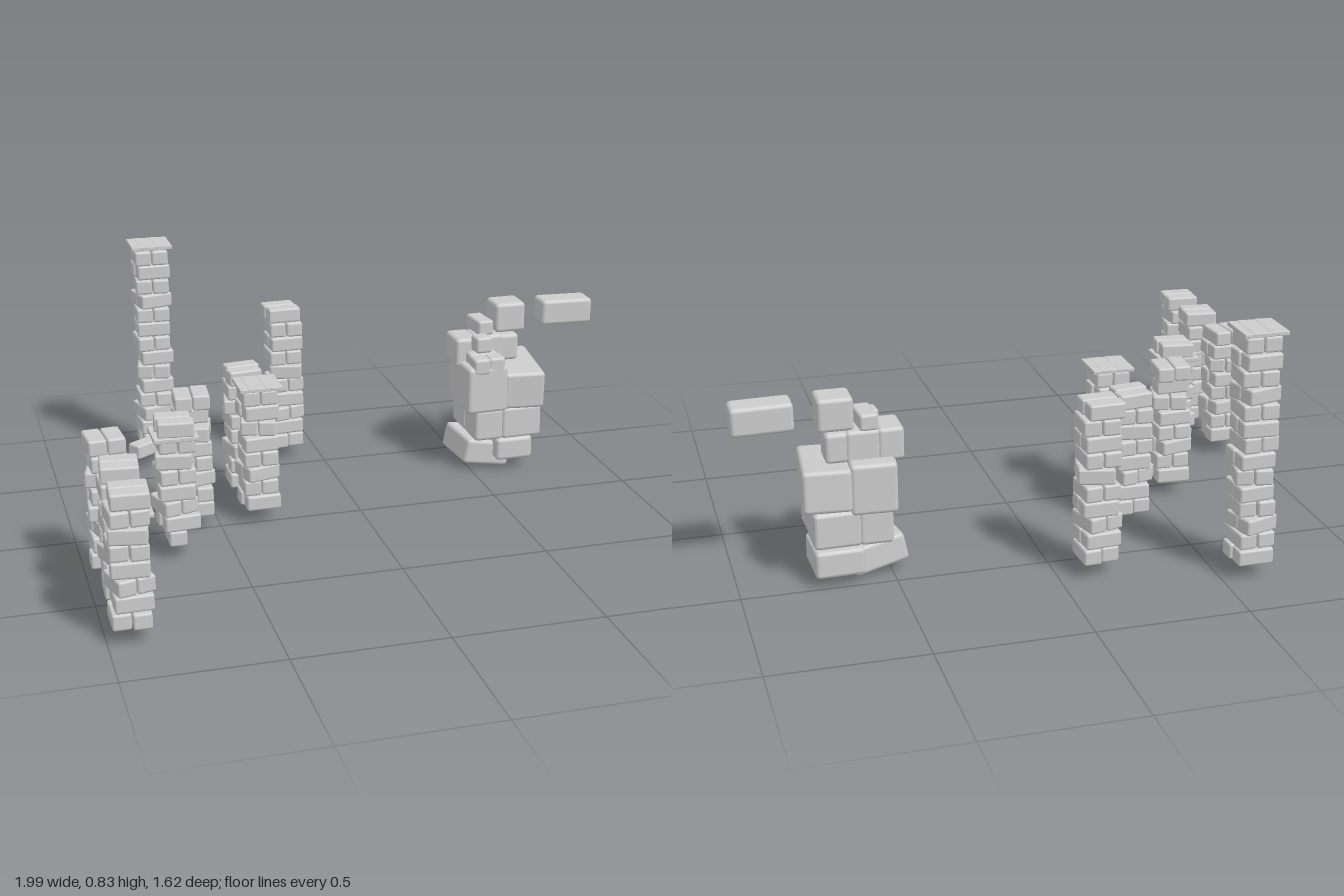
import * as THREE from 'three';
import { RoundedBoxGeometry } from 'three/addons/geometries/RoundedBoxGeometry.js';

const BASE = 0.053, LAYER = 0.0545;
const material = new THREE.MeshStandardMaterial({ color: 0xcccccc });
const brickGeometry = new RoundedBoxGeometry(0.119, 0.053, 0.059, 2, 0.008);

// Small seeded generator, returns -1..1
function seeded(seed) {
  let s = seed * 7919 + 17;
  return () => {
    s = (s * 16807) % 2147483647;
    return (s / 2147483647) * 2 - 1;
  };
}

function stone(name, w, h, d, x, y, z, rx = 0, ry = 0, rz = 0) {
  const radius = Math.min(0.014, Math.min(w, h, d) * 0.18);
  const mesh = new THREE.Mesh(new RoundedBoxGeometry(w, h, d, 2, radius), material);
  mesh.name = name;
  mesh.position.set(x, y, z);
  mesh.rotation.set(rx, ry, rz);
  return mesh;
}

// Thin square plate made of parallel planks
function slab(y, x = 0, z = 0) {
  const group = new THREE.Group();
  group.name = 'slab';
  for (let i = 0; i < 5; i++) {
    group.add(stone('plank', 0.031, 0.014, 0.142, x + (i - 2) * 0.029, y + (i % 2) * 0.001, z));
  }
  return group;
}

// Stack of brick pairs, each layer turned a quarter against the next
function pillar({ x, z, layers, topAlongX, yaw = 0, single = [], seed }) {
  const group = new THREE.Group();
  group.name = 'pillar';
  group.position.set(x, 0, z);
  const rnd = seeded(seed);
  const twist = [0, 0.03, 0.27, -0.03, 0.05, -0.2, 0.03, 0];
  for (let i = 0; i < layers; i++) {
    const layer = new THREE.Group();
    layer.name = 'brickLayer';
    layer.position.set(rnd() * 0.005, BASE + (i + 0.5) * LAYER, rnd() * 0.005);
    const alongX = ((layers - 1 - i) % 2 === 0) === topAlongX;
    const turn = i === layers - 1 ? yaw : twist[i % 8] + rnd() * 0.05;
    layer.rotation.y = turn + (alongX ? 0 : Math.PI / 2);
    const sides = single.includes(i) ? [0] : [-1, 1];
    for (const side of sides) {
      const brick = new THREE.Mesh(brickGeometry, material);
      brick.name = 'brick';
      brick.position.set(rnd() * 0.006, 0, side * 0.0305);
      layer.add(brick);
    }
    group.add(layer);
  }
  return group;
}

function stoneFigure() {
  const group = new THREE.Group();
  group.name = 'stoneFigure';
  group.add(
    // Feet
    stone('tiltedFoot', 0.185, 0.095, 0.2, 0.555, 0.069, -0.35, 0.05, 0.12, -0.2),
    stone('frontFoot', 0.14, 0.085, 0.085, 0.655, 0.088, -0.252),
    stone('sideFoot', 0.16, 0.092, 0.18, 0.682, 0.082, -0.41, 0, 0.03, 0),
    // Torso
    stone('sideTorso', 0.155, 0.14, 0.29, 0.7, 0.32, -0.352, 0.06, -0.09, 0),
    stone('frontTorso', 0.155, 0.175, 0.15, 0.542, 0.328, -0.28, 0, 0.04, 0),
    stone('backTorso', 0.15, 0.17, 0.14, 0.56, 0.32, -0.42, 0, -0.04, 0),
    // Shoulder rubble
    stone('shoulderStone', 0.085, 0.11, 0.13, 0.495, 0.445, -0.37),
    stone('shoulderStone', 0.11, 0.11, 0.11, 0.585, 0.445, -0.38),
    stone('chestStone', 0.062, 0.06, 0.066, 0.52, 0.42, -0.234),
    stone('chestStone', 0.062, 0.06, 0.066, 0.578, 0.42, -0.24),
    stone('chestStone', 0.11, 0.055, 0.06, 0.545, 0.425, -0.293),
    stone('pebble', 0.062, 0.06, 0.064, 0.54, 0.488, -0.278, 0, 0.06, 0),
    stone('neckStone', 0.06, 0.055, 0.12, 0.57, 0.528, -0.385, 0, 0.08, 0),
    stone('collarStone', 0.1, 0.1, 0.1, 0.655, 0.445, -0.38),
    // Head and floating arm
    stone('head', 0.115, 0.11, 0.112, 0.67, 0.56, -0.384),
    stone('floatingArm', 0.197, 0.095, 0.098, 0.896, 0.562, -0.382, 0, 0, -0.02)
  );
  // Legs, two by two
  for (const z of [-0.283, -0.415]) {
    group.add(stone('leg', 0.11, 0.12, 0.13, 0.557, 0.187, z));
    group.add(stone('leg', 0.155, 0.122, 0.13, 0.682, 0.188, z, 0, 0.03, 0));
  }
  return group;
}

export function createModel() {
  const model = new THREE.Group();
  model.name = 'ruins';
  const pillars = [
    { x: -0.92, z: 0.73, layers: 8, topAlongX: true, yaw: -0.06 },
    { x: -0.91, z: 0.52, layers: 8, topAlongX: true, yaw: -0.1 },
    { x: -0.92, z: 0.285, layers: 8, topAlongX: false, yaw: 0.08 },
    { x: -0.685, z: 0.185, layers: 8, topAlongX: true, yaw: -0.12, single: [0] },
    { x: -0.585, z: -0.04, layers: 8, topAlongX: false, yaw: -0.08, single: [6] },
    { x: -0.355, z: -0.035, layers: 8, topAlongX: false },
    { x: -0.36, z: -0.265, layers: 8, topAlongX: true, yaw: 0.14 },
    { x: -0.13, z: -0.6, layers: 10, topAlongX: true, yaw: 0.04 },
    { x: -0.6, z: -0.738, layers: 14, topAlongX: false },
  ].map((p, i) => pillar({ ...p, seed: i + 1 }));
  model.add(...pillars);

  // Slabs: two wedged between layers, two as caps
  pillars[1].add(slab(0.328, 0.02, 0.005));
  pillars[3].add(slab(0.431, 0, 0));
  pillars[5].add(slab(0.496, 0, 0));
  pillars[8].add(slab(0.828, 0.003, 0));

  // Fallen brick beside the tallest pillar
  const fallen = new THREE.Mesh(brickGeometry, material);
  fallen.name = 'fallenBrick';
  fallen.position.set(-0.66, 0.08, -0.622);
  fallen.rotation.y = 0.6;
  model.add(fallen);

  model.add(stoneFigure());
  return model;
}
